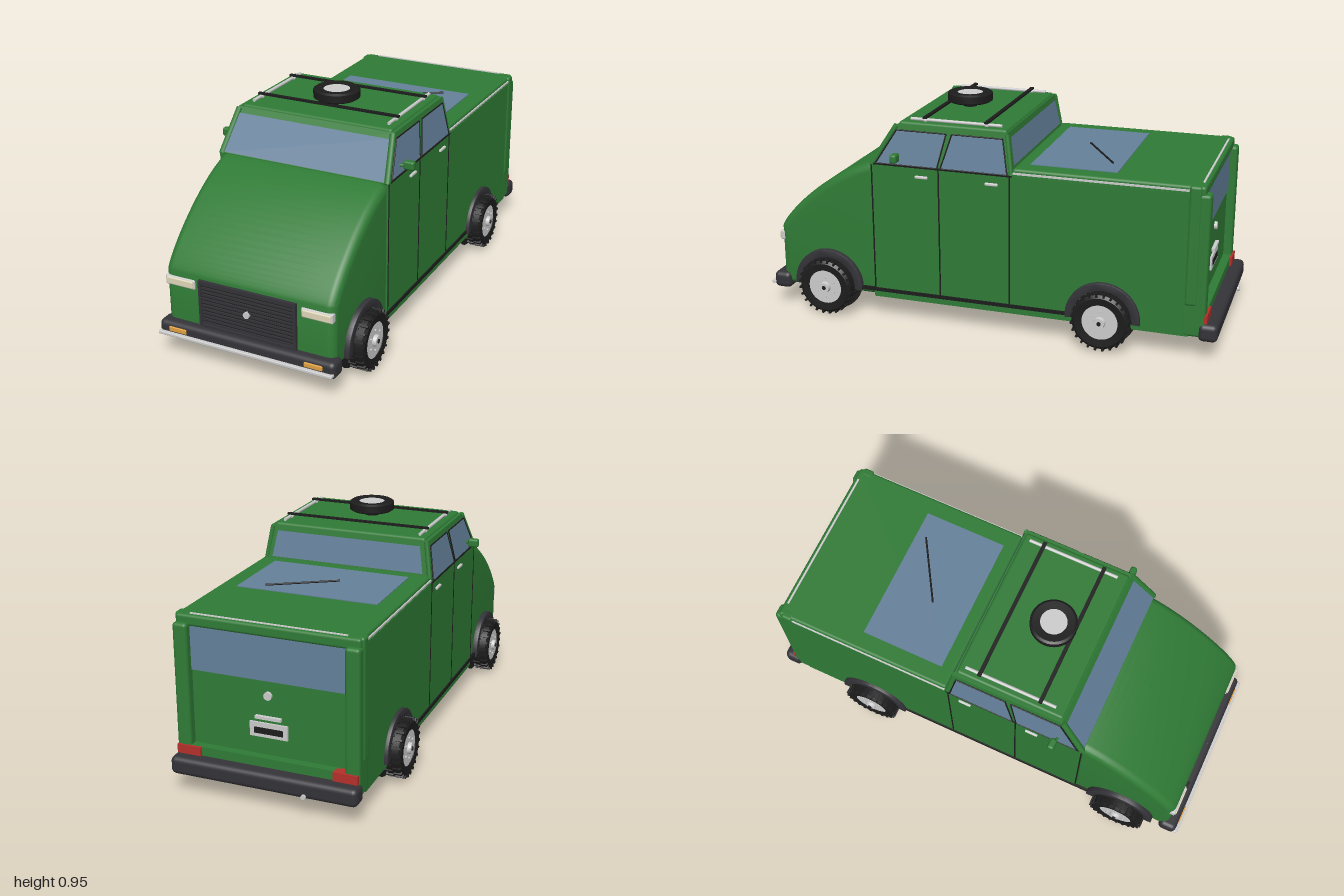
import * as THREE from 'three';
import { toCreasedNormals } from 'three/addons/utils/BufferGeometryUtils.js';
import { RoundedBoxGeometry } from 'three/addons/geometries/RoundedBoxGeometry.js';

const mat = (color) => new THREE.MeshStandardMaterial({ color });
const green = mat(0x2f7a35), black = mat(0x1c1c1c), rubber = mat(0x333338), chrome = mat(0xcccccc);
const glass = mat(0x64809a), amber = mat(0xe0a040), red = mat(0xb52f2a), lamp = mat(0xe0d8b8);
glass.side = THREE.DoubleSide;

export function createModel() {
  const model = new THREE.Group();
  const add = (name, geo, material, parent = model) => {
    const m = new THREE.Mesh(geo, material);
    m.name = name;
    parent.add(m);
    return m;
  };
  // box given by its extents on each axis; r rounds the edges
  const box = (name, material, [x0, x1], [y0, y1], [z0, z1], r = 0) => {
    const s = [x1 - x0, y1 - y0, z1 - z0];
    const m = add(name, r ? new RoundedBoxGeometry(...s, 3, r) : new THREE.BoxGeometry(...s), material);
    m.position.set((x0 + x1) / 2, (y0 + y1) / 2, (z0 + z1) / 2);
    return m;
  };
  // the same box on both sides, x given for the left
  const pair = (name, material, [x0, x1], y, z, r) => {
    box(name + 'Left', material, [x0, x1], y, z, r);
    box(name + 'Right', material, [-x1, -x0], y, z, r);
  };
  const rod = (name, material, a, b, r) => {
    const p = new THREE.Vector3(...a), q = new THREE.Vector3(...b);
    const m = add(name, new THREE.CylinderGeometry(r, r, p.distanceTo(q), 12), material);
    m.position.copy(p).lerp(q, 0.5);
    m.quaternion.setFromUnitVectors(new THREE.Vector3(0, 1, 0), q.sub(p).normalize());
  };
  const quad = (name, material, ...corners) => {
    const g = new THREE.BufferGeometry();
    g.setAttribute('position', new THREE.Float32BufferAttribute(corners.flat(), 3));
    g.setIndex([0, 1, 2, 0, 2, 3]);
    g.computeVertexNormals();
    add(name, g, material);
  };

  // hood and nose: side profile extruded across the width with rounded edges
  const profile = new THREE.Shape();
  profile.moveTo(0.38, 0.1);
  profile.lineTo(0.945, 0.1);
  profile.lineTo(0.945, 0.37);
  profile.bezierCurveTo(0.92, 0.44, 0.7, 0.65, 0.5, 0.703);
  profile.lineTo(0.38, 0.703);
  const bevel = 0.035, hoodHalf = 0.378;
  const hood = new THREE.ExtrudeGeometry(profile, {
    depth: 2 * (hoodHalf - bevel), bevelThickness: bevel, bevelSize: bevel, bevelOffset: -bevel,
    bevelSegments: 5, curveSegments: 20,
  });
  hood.translate(0, 0, -(hoodHalf - bevel)).rotateY(-Math.PI / 2);
  add('hood', toCreasedNormals(hood, 0.6), green);

  // main body, rear deck and tail frame
  box('body', green, [-0.385, 0.385], [0.1, 0.705], [-0.87, 0.5]);
  box('rearRoof', green, [-0.382, 0.382], [0.69, 0.737], [-0.915, -0.125], 0.012);
  pair('tailPillar', green, [0.325, 0.386], [0.1, 0.705], [-0.937, -0.84], 0.014);
  pair('tailPillarTrim', green, [0.35, 0.391], [0.235, 0.738], [-0.9, -0.85], 0.012);
  box('tailSill', green, [-0.36, 0.36], [0.1, 0.2], [-0.935, -0.85]);
  pair('deckTrim', chrome, [0.38, 0.3875], [0.714, 0.722], [-0.85, -0.13]);
  box('rearRoofStrip', chrome, [-0.325, 0.325], [0.733, 0.741], [-0.9, -0.892]);
  box('deckWindow', glass, [-0.305, 0.305], [0.73, 0.74], [-0.545, -0.18]);
  rod('deckWiper', black, [-0.063, 0.744, -0.34], [0.196, 0.744, -0.5], 0.004);

  // tailgate
  box('tailgate', green, [-0.33, 0.33], [0.2, 0.7], [-0.9, -0.86]);
  box('tailgateWindow', glass, [-0.325, 0.325], [0.51, 0.7], [-0.906, -0.88]);
  rod('tailgateBadge', chrome, [0, 0.45, -0.89], [0, 0.45, -0.912], 0.017);
  box('tailgateHandle', chrome, [-0.055, 0.055], [0.352, 0.364], [-0.915, -0.89]);
  box('plateHolder', chrome, [-0.08, 0.08], [0.275, 0.335], [-0.908, -0.89]);
  box('plateInset', black, [-0.06, 0.06], [0.29, 0.315], [-0.911, -0.89]);
  pair('tailLamp', red, [0.28, 0.382], [0.163, 0.2], [-0.945, -0.9]);

  // cabin: a box tapered towards the roof
  const Y0 = 0.7, Y1 = 0.875;
  const cab = new THREE.BoxGeometry(2, 1, 2);
  const cp = cab.attributes.position;
  const frontZ = (y) => 0.5 - 0.115 * (y - Y0) / (Y1 - Y0);
  const rearZ = (y) => -0.125 + 0.03 * (y - Y0) / (Y1 - Y0);
  const sideX = (y) => 0.385 - 0.028 * (y - Y0) / (Y1 - Y0);
  for (let i = 0; i < cp.count; i++) {
    const y = cp.getY(i) > 0 ? Y1 : Y0;
    cp.setXYZ(i, cp.getX(i) * sideX(y), y, cp.getZ(i) > 0 ? frontZ(y) : rearZ(y));
  }
  cab.computeVertexNormals();
  add('cabin', cab, green);
  box('cabinRoof', green, [-0.343, 0.343], [0.85, 0.885], [-0.09, 0.383], 0.012);

  // cabin glass, raised slightly from the panels
  const e = 0.004, yb = 0.708, yt = 0.853;
  quad('windscreen', glass, [-0.365, yb, frontZ(yb) + e], [0.365, yb, frontZ(yb) + e],
    [0.342, yt, frontZ(yt) + e], [-0.342, yt, frontZ(yt) + e]);
  quad('cabRearWindow', glass, [0.345, 0.74, rearZ(0.74) - e], [-0.345, 0.74, rearZ(0.74) - e],
    [-0.325, yt, rearZ(yt) - e], [0.325, yt, rearZ(yt) - e]);
  for (const s of [1, -1]) {
    const side = s > 0 ? 'Left' : 'Right';
    const at = (y, z, o = e) => [s * (sideX(y) + o), y, z];
    const sideGlass = (name, a, b, c, d) => {
      const ring = [at(yb, a), at(yb, b), at(yt, c), at(yt, d)];
      quad(name + side, glass, ...ring);
      ring.forEach((p, i) => rod(name + 'Seal' + side, black, p, ring[(i + 1) % 4], 0.003));
    };
    sideGlass('frontDoorWindow', 0.475, 0.2, 0.165, 0.385);
    sideGlass('rearDoorWindow', 0.185, -0.105, -0.08, 0.14);
    rod('windscreenPillar' + side, green, at(Y0, 0.495, -0.007), at(0.87, 0.388, -0.007), 0.013);
    rod('rearCabPillar' + side, green, at(Y0, -0.12, -0.007), at(0.87, -0.094, -0.007), 0.01);
    // mirror
    rod('mirrorArm' + side, green, [s * 0.365, 0.74, 0.39], [s * 0.4, 0.745, 0.38], 0.006);
    const mirror = add('mirror' + side, new RoundedBoxGeometry(0.048, 0.038, 0.03, 3, 0.01), green);
    mirror.position.set(s * 0.418, 0.746, 0.375);
    // roof rack rail with its feet
    rod('rackRail' + side, chrome, [s * 0.31, 0.892, -0.06], [s * 0.31, 0.892, 0.34], 0.007);
    for (const z of [0.005, 0.275]) {
      const foot = add('rackFoot' + side, new THREE.SphereGeometry(0.011, 12, 8), chrome);
      foot.position.set(s * 0.31, 0.89, z);
    }
  }
  for (const z of [0.005, 0.275]) box('rackCrossbar', black, [-0.325, 0.325], [0.898, 0.906], [z - 0.008, z + 0.008]);

  // doors: belt line, seams, handles and sill
  pair('beltLine', black, [0.38, 0.388], [0.701, 0.708], [-0.125, 0.5]);
  for (const z of [0.495, 0.195, -0.115]) pair('doorSeam', black, [0.38, 0.3865], [0.135, 0.703], [z - 0.003, z + 0.003]);
  for (const z of [0.27, -0.037]) pair('doorHandle', chrome, [0.38, 0.394], [0.657, 0.669], [z - 0.028, z + 0.028], 0.004);
  pair('sillStrip', black, [0.38, 0.391], [0.127, 0.142], [-0.37, 0.57]);

  // grille, badge and headlamps
  box('grille', black, [-0.205, 0.205], [0.165, 0.35], [0.92, 0.949]);
  for (let i = 0; i < 12; i++) {
    const y = 0.176 + i * 0.0152;
    box('grilleBar', rubber, [-0.208, 0.208], [y - 0.004, y + 0.004], [0.94, 0.955]);
  }
  for (const y of [0.163, 0.353]) box('grilleFrame', rubber, [-0.217, 0.217], [y - 0.006, y + 0.006], [0.935, 0.959]);
  pair('grilleFrame', rubber, [0.205, 0.217], [0.158, 0.359], [0.935, 0.959]);
  rod('grilleBadge', chrome, [0, 0.258, 0.94], [0, 0.258, 0.962], 0.014);
  pair('headlampRim', chrome, [0.237, 0.372], [0.307, 0.348], [0.91, 0.952], 0.006);
  pair('headlamp', lamp, [0.243, 0.366], [0.312, 0.343], [0.92, 0.957], 0.005);

  // bumpers
  box('frontBumper', rubber, [-0.395, 0.395], [0.084, 0.157], [0.905, 0.985], 0.022);
  box('frontBumperStrip', chrome, [-0.39, 0.39], [0.1, 0.114], [0.97, 1], 0.004);
  pair('indicator', amber, [0.265, 0.345], [0.118, 0.139], [0.96, 0.99], 0.004);
  box('rearBumper', rubber, [-0.395, 0.395], [0.086, 0.162], [-0.99, -0.91], 0.022);
  rod('exhaust', chrome, [-0.18, 0.1, -0.94], [-0.18, 0.1, -1], 0.01);

  // wheels: axis along local y, outer face towards +y
  const tyreProfile = (r, w, hole) => [[hole, -w], [r * 0.9, -w], [r, -w * 0.7], [r, w * 0.7], [r * 0.9, w], [hole, w * 0.9], [hole, -w]]
    .map(([x, y]) => new THREE.Vector2(x, y));
  const tyreGeo = (r, w, hole) => toCreasedNormals(new THREE.LatheGeometry(tyreProfile(r, w, hole), 40), 0.5);
  const makeWheel = (name) => {
    const w = new THREE.Group();
    w.name = name;
    add('tyre', tyreGeo(0.119, 0.036, 0.076), black, w);
    for (let i = 0; i < 48; i++) {
      const a = i * Math.PI / 24;
      const lug = add('treadLug', new THREE.BoxGeometry(0.014, 0.034, 0.009), black, w);
      lug.position.set(Math.cos(a) * 0.118, i % 2 ? 0.018 : -0.018, Math.sin(a) * 0.118);
      lug.rotation.y = -a;
    }
    add('rim', new THREE.CylinderGeometry(0.078, 0.078, 0.058, 32), chrome, w);
    add('hub', new THREE.CylinderGeometry(0.022, 0.026, 0.02, 20), chrome, w).position.y = 0.034;
    add('hubCap', new THREE.CylinderGeometry(0.009, 0.009, 0.006, 12), black, w).position.y = 0.044;
    for (let i = 0; i < 6; i++) {
      const a = i * Math.PI / 3;
      add('wheelNut', new THREE.CylinderGeometry(0.005, 0.005, 0.008, 6), chrome, w)
        .position.set(Math.cos(a) * 0.045, 0.031, Math.sin(a) * 0.045);
    }
    add('backPlate', new THREE.CylinderGeometry(0.134, 0.134, 0.004, 40), black, w).position.y = -0.064;
    return w;
  };

  // wheel arch flare: half ring
  const arch = new THREE.Shape();
  arch.absarc(0, 0, 0.155, -0.05, Math.PI + 0.05, false);
  arch.absarc(0, 0, 0.126, Math.PI + 0.05, -0.05, true);
  const archGeo = toCreasedNormals(new THREE.ExtrudeGeometry(arch, {
    depth: 0.035, curveSegments: 28, bevelSize: 0.003, bevelThickness: 0.003, bevelSegments: 2,
  }), 0.6);
  for (const s of [1, -1]) for (const z of [0.714, -0.516]) {
    const label = (z > 0 ? 'front' : 'rear') + 'Wheel' + (s > 0 ? 'Left' : 'Right');
    const wheel = makeWheel(label);
    wheel.position.set(s * 0.404, 0.134, z);
    wheel.rotation.z = -s * Math.PI / 2;
    model.add(wheel);
    const flare = add(label + 'Arch', archGeo, rubber);
    flare.position.set(s * 0.362, 0.134, z);
    flare.rotation.y = s * Math.PI / 2;
  }

  // spare wheel on the roof
  const spare = new THREE.Group();
  spare.name = 'spareWheel';
  spare.position.set(0, 0.928, 0.188);
  add('spareTyre', tyreGeo(0.098, 0.022, 0.056), black, spare);
  add('spareRim', new THREE.CylinderGeometry(0.058, 0.058, 0.034, 32), chrome, spare);
  rod('spareMount', black, [0, 0.88, 0.188], [0, 0.92, 0.188], 0.03);
  model.add(spare);
  return model;
}
